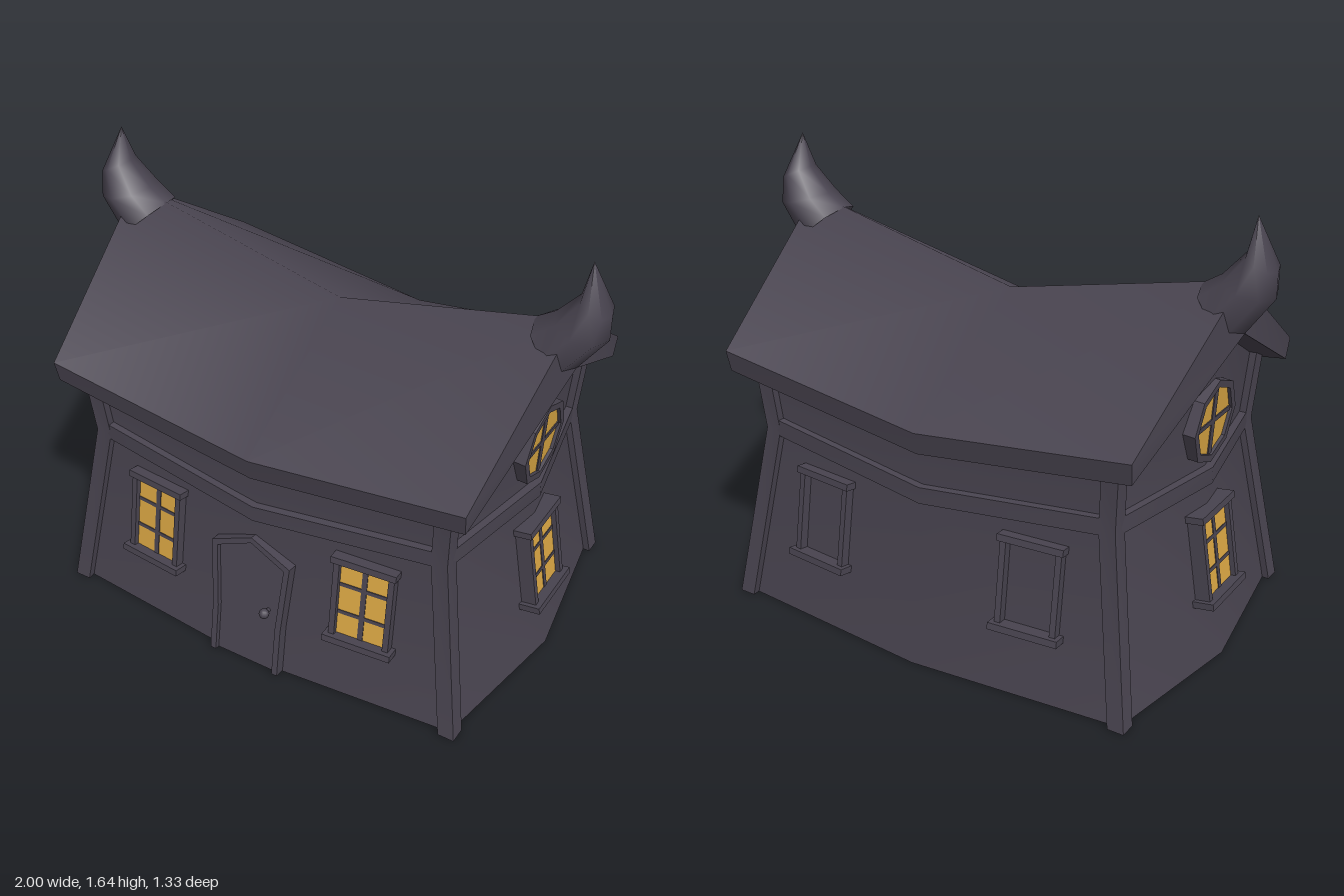
import * as THREE from 'three';
import { toCreasedNormals } from 'three/addons/utils/BufferGeometryUtils.js';

const dark = new THREE.MeshStandardMaterial({ color: 0x4a4551, side: THREE.DoubleSide });
dark.name = 'dark timber';
const amber = new THREE.MeshStandardMaterial({ color: 0xdca844, side: THREE.DoubleSide });
amber.name = 'amber glass';

function add(parent, name, geometry, material = dark, x = 0, y = 0, z = 0) {
  const m = new THREE.Mesh(geometry, material);
  m.name = name;
  m.position.set(x, y, z);
  parent.add(m);
  return m;
}

// Skin a list of cross-sections; closed sections wrap round, caps close both ends
function loft(rings, { closed = true, caps = false, crease = 0.6 } = {}) {
  if (caps) {
    const collapse = (r) => {
      const c = [0, 1, 2].map((k) => r.reduce((s, p) => s + p[k], 0) / r.length);
      return r.map(() => c);
    };
    rings = [collapse(rings[0]), ...rings, collapse(rings[rings.length - 1])];
  }
  const n = rings[0].length, index = [];
  for (let i = 0; i < rings.length - 1; i++) {
    for (let j = 0; j < (closed ? n : n - 1); j++) {
      const k = (j + 1) % n, a = i * n + j, b = i * n + k, c = a + n, d = b + n;
      index.push(a, b, c, b, d, c);
    }
  }
  const g = new THREE.BufferGeometry();
  g.setAttribute('position', new THREE.Float32BufferAttribute(rings.flat(2), 3));
  g.setIndex(index);
  g.computeVertexNormals();
  return crease ? toCreasedNormals(g, crease) : g;
}

function outline(points, hole) {
  const s = new THREE.Shape(points.map((p) => new THREE.Vector2(...p)));
  if (hole) s.holes.push(new THREE.Path(hole.map((p) => new THREE.Vector2(...p))));
  return s;
}

function slab(shape, back, front) {
  const g = new THREE.ExtrudeGeometry(shape, { depth: front - back, bevelEnabled: false });
  return g.translate(0, 0, back);
}

// Horizontal trim following points along a wall that faces direction (nx, nz)
function band(points, nx, nz) {
  const h = 0.031, d = 0.03;
  const section = [[1, 1], [-1, 1], [-1, -1], [1, -1]];
  return loft(points.map(([x, y, z]) =>
    section.map(([u, w]) => [x + nx * d * w, y + h * u, z + nz * d * w])), { caps: true });
}

// Place a group on a wall: turn about y, then lean
function mount(parent, name, x, y, z, yaw, lean) {
  const g = new THREE.Group();
  g.name = name;
  g.position.set(x, y, z);
  g.rotation.set(lean, yaw, 0, 'YXZ');
  parent.add(g);
  return g;
}

function sashWindow(g, glazed) {
  const box = (name, w, h, d, x, y, z, m = dark) => add(g, name, new THREE.BoxGeometry(w, h, d), m, x, y, z);
  for (const s of [-1, 1]) box('windowJamb', 0.022, 0.32, 0.07, s * 0.103, 0, 0);
  box('windowLintel', 0.245, 0.025, 0.08, 0, 0.16, 0.005);
  box('windowSill', 0.26, 0.025, 0.1, 0, -0.16, 0.005);
  if (!glazed) return;
  box('windowGlass', 0.19, 0.3, 0.008, 0, 0, 0.012, amber);
  box('windowMullion', 0.02, 0.3, 0.012, 0, 0, 0.013);
  for (const y of [-0.057, 0.055]) box('windowBar', 0.19, 0.014, 0.012, 0, y, 0.013);
}

function octagonWindow(g) {
  const ring = (r) => Array.from({ length: 8 }, (_, i) =>
    [r * Math.cos(i * Math.PI / 4), r * Math.sin(i * Math.PI / 4)]);
  add(g, 'roundWindowFrame', slab(outline(ring(0.155), ring(0.128)), -0.05, 0.02));
  add(g, 'roundWindowGlass', slab(outline(ring(0.13)), 0, 0.008), amber);
  add(g, 'roundWindowMullion', new THREE.BoxGeometry(0.026, 0.25, 0.012), dark, 0, 0, 0.006);
  add(g, 'roundWindowBar', new THREE.BoxGeometry(0.25, 0.018, 0.012), dark, 0, 0, 0.006);
}

export function createModel() {
  const model = new THREE.Group();
  model.name = 'crookedHouse';
  const house = new THREE.Group();
  house.name = 'house';
  house.position.z = -0.012;
  model.add(house);

  // Walls: corner x, y, z; side middle x, y; front middle y, z
  const wallRing = ([cx, cy, cz], [sx, sy], [fy, fz]) => [
    [cx, cy, cz], [sx, sy, 0], [cx, cy, -cz], [0, fy, -fz],
    [-cx, cy, -cz], [-sx, sy, 0], [-cx, cy, cz], [0, fy, fz]];
  add(house, 'walls', loft([
    wallRing([0.8, 0, 0.58], [0.895, 0], [0, 0.65]),
    wallRing([0.695, 0.68, 0.485], [0.785, 0.69], [0.63, 0.55]),
    wallRing([0.715, 0.97, 0.51], [0.82, 1.28], [0.86, 0.56]),
  ]));

  // Corner posts
  for (const sx of [-1, 1]) for (const sz of [-1, 1]) {
    const levels = [[0.8, 0, 0.58], [0.695, 0.68, 0.485], [0.715, 0.97, 0.51]];
    add(house, 'cornerPost', loft(levels.map(([x, y, z]) =>
      [[1, 1], [1, -1], [-1, -1], [-1, 1]].map(([u, w]) =>
        [sx * x + u * 0.031, y, sz * z + w * 0.031])), { caps: true }));
  }

  // Trim bands between the storeys
  for (const s of [-1, 1]) {
    add(house, s > 0 ? 'frontBand' : 'backBand', band([
      [-0.69 * s, 0.692, 0.485 * s], [0, 0.637, 0.55 * s], [0.69 * s, 0.692, 0.485 * s]], 0, s));
    add(house, 'sideBand', band([
      [0.695 * s, 0.69, 0.48 * s], [0.787 * s, 0.69, 0], [0.695 * s, 0.69, -0.48 * s]], s, 0));
  }

  // Sagging roof: upper and lower lines at both ends and the middle
  const stations = [-1, 0, 1];
  const top = stations.map((s) => {
    const e = s ? 0.99 : 0.88;
    return [[0.82 * s, e, -0.6], [0.88 * s, s ? 1.41 : 1.21, 0], [0.82 * s, e, 0.6]];
  });
  const under = stations.map((s) => {
    const e = s ? 0.91 : 0.797;
    return [[0.815 * s, e, -0.585], [0.9 * s, s ? 1.23 : 1.1, 0], [0.815 * s, e, 0.585]];
  });
  add(house, 'roofTop', loft(top, { closed: false, crease: 0 }));
  add(house, 'roofUnderside', loft(top.map((t, i) =>
    [t[2], under[i][2], under[i][1], under[i][0], t[0]]), { closed: false }));
  add(house, 'leftVerge', loft([top[2], under[2]], { closed: false }));
  add(house, 'rightVerge', loft([[...top[0]].reverse(), [...under[0]].reverse()], { closed: false }));

  // Upturned ridge horns: inner point, outer point, half width
  const hornRings = [
    [[0.74, 1.375], [0.9, 1.23], 0.12], [[0.81, 1.42], [1, 1.37], 0.11],
    [[0.89, 1.51], [1, 1.46], 0.072], [[0.92, 1.635], [0.92, 1.635], 0]];
  for (const s of [-1, 1]) {
    add(house, 'ridgeHorn', loft(hornRings.map(([a, b, w]) =>
      Array.from({ length: 8 }, (_, i) => {
        const t = -s * i * Math.PI / 4, c = Math.cos(t) / 2;
        return [s * ((a[0] + b[0]) / 2 + (b[0] - a[0]) * c),
          (a[1] + b[1]) / 2 + (b[1] - a[1]) * c, w * Math.sin(t)];
      })), { crease: 1.2 }));
  }

  // Windows: glazed at front and sides, blind at the back
  for (const s of [-1, 1]) {
    sashWindow(mount(house, 'frontWindow', s * 0.435, 0.408, 0.548, s * 0.09, -0.155), true);
    sashWindow(mount(house, 'backWindow', s * 0.435, 0.408, -0.548, Math.PI - s * 0.09, -0.155), false);
    sashWindow(mount(house, 'sideWindow', s * 0.83, 0.408, 0, s * Math.PI / 2, -0.158), true);
    octagonWindow(mount(house, 'roundWindow', s * 0.797, 0.895, 0, s * Math.PI / 2, 0.06));
  }

  // Door with pointed frame and knob
  const door = mount(house, 'door', 0, 0, 0.65, 0, -0.157);
  const mirrored = (half, apex) => [...half, apex, ...half.map(([x, y]) => [-x, y]).reverse()];
  const outer = mirrored([[0.145, 0.004], [0.145, 0.2], [0.163, 0.47]], [0, 0.54]);
  const inner = mirrored([[0.122, 0.004], [0.122, 0.2], [0.14, 0.455]], [0, 0.518]);
  const arch = [...outer.slice(0, 7), ...[...inner].reverse()];
  add(door, 'doorFrame', slab(outline(arch), -0.03, 0.027));
  add(door, 'doorPanel', slab(outline(inner), -0.02, 0.008));
  add(door, 'doorKnob', new THREE.SphereGeometry(0.019, 10, 8), dark, 0.08, 0.258, 0.038);
  add(door, 'knobStem', new THREE.CylinderGeometry(0.008, 0.008, 0.04, 8).rotateX(Math.PI / 2), dark, 0.08, 0.258, 0.02);
  return model;
}
